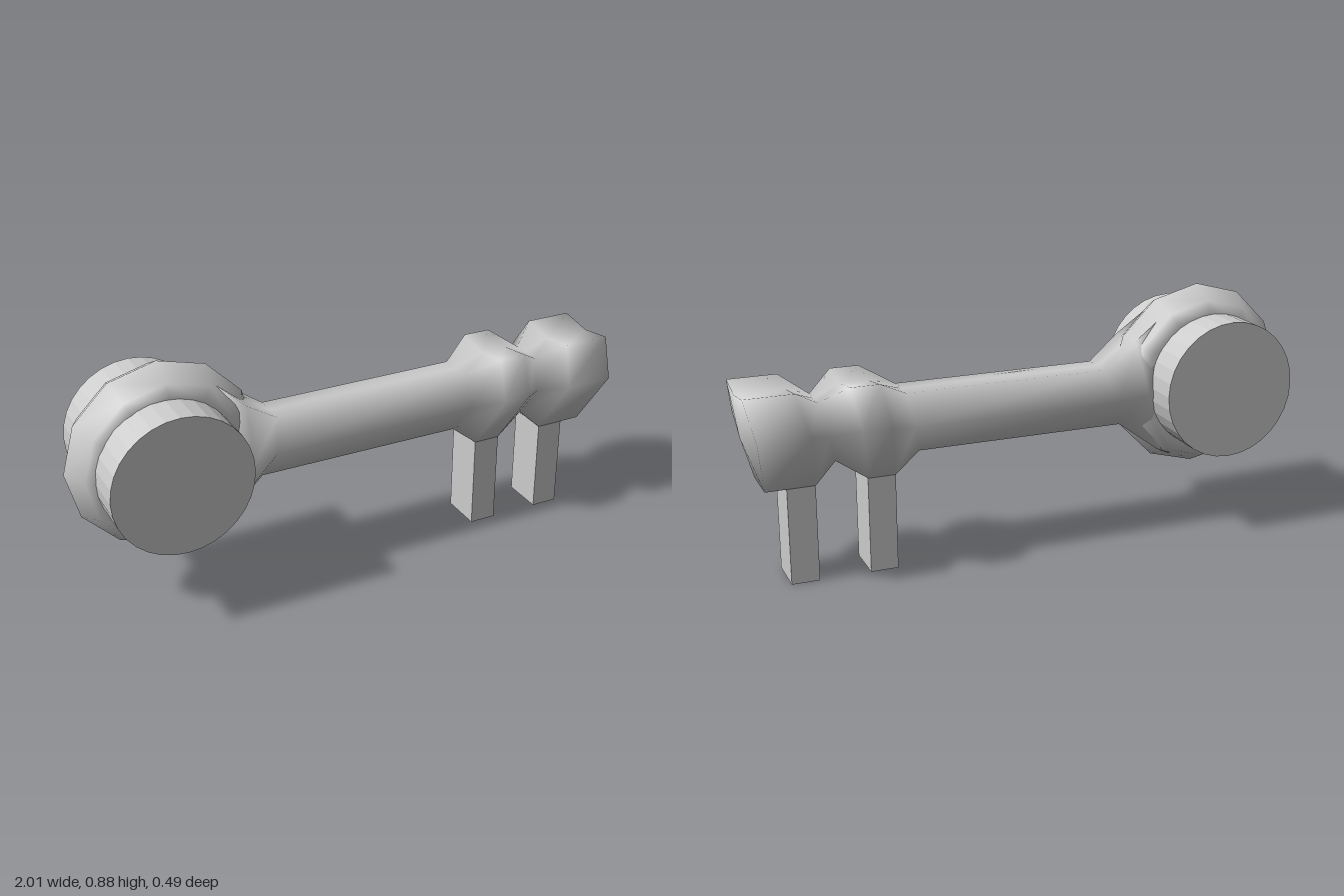
import * as THREE from 'three';

const grey = new THREE.MeshStandardMaterial({ color: 0xcccccc });
const faceted = new THREE.MeshStandardMaterial({ color: 0xcccccc, flatShading: true });

// Loft of seven-sided sections along x, closed at both ends
function loft(stations) {
  const pos = [], idx = [], n = 7, last = stations.length - 1;
  for (const s of stations) {
    const [xt, xm, xb] = s.x, [yt, ym, yb] = s.y, [front, back] = s.z, [kt, kb] = s.k;
    pos.push(
      xt, yt - s.dip, 0,
      xt, yt, front * kt,
      xm, ym, front,
      xb, yb, front * kb,
      xb, yb, -back * kb,
      xm, ym, -back,
      xt, yt, -back * kt
    );
  }
  for (let i = 0; i < last; i++) {
    for (let j = 0; j < n; j++) {
      const a = i * n + j, b = i * n + (j + 1) % n;
      idx.push(a, b, a + n, b, b + n, a + n);
    }
  }
  const startCentre = pos.length / 3, endCentre = startCentre + 1;
  pos.push(stations[0].x[1], stations[0].y[1], 0, 0.99, 0.51, 0);
  for (let j = 0; j < n; j++) {
    const k = (j + 1) % n;
    idx.push(startCentre, k, j, endCentre, last * n + j, last * n + k);
  }
  const g = new THREE.BufferGeometry();
  g.setAttribute('position', new THREE.Float32BufferAttribute(pos, 3));
  g.setIndex(idx);
  g.computeVertexNormals();
  return g;
}

export function createModel() {
  const group = new THREE.Group();
  const add = (name, geometry, material, x, y, z) => {
    const mesh = new THREE.Mesh(geometry, material);
    mesh.name = name;
    mesh.position.set(x, y, z);
    group.add(mesh);
    return mesh;
  };

  // Shaft, flared at the ring and swelling into two bosses
  const thin = (x, w = 0.127) => ({ x, y: [0.617, 0.515, 0.41], z: [w, w], k: [0.5, 0.5], dip: 0 });
  const boss = (x) => ({ x, y: [0.677, 0.547, 0.34], z: [0.197, 0.197], k: [0.63, 0.39], dip: 0.02 });
  add('shaft', loft([
    { x: [-0.5, -0.5, -0.56], y: [0.78, 0.547, 0.27], z: [0.11, 0.1], k: [0.6, 0.6], dip: 0 },
    { x: [-0.41, -0.43, -0.5], y: [0.7, 0.53, 0.3], z: [0.19, 0.14], k: [0.5, 0.5], dip: 0 },
    thin([-0.29, -0.32, -0.35]),
    thin([0.44, 0.43, 0.4]),
    boss([0.55, 0.53, 0.49]),
    boss([0.65, 0.63, 0.585]),
    thin([0.74, 0.72, 0.69], 0.115),
    boss([0.83, 0.8, 0.765]),
    boss([1, 0.975, 0.935])
  ]), grey, 0, 0, 0);

  // Low-poly ring at the handle end
  const section = [
    [0.2, -0.1], [0.25, -0.11], [0.29, -0.087], [0.335, 0],
    [0.29, 0.087], [0.25, 0.11], [0.2, 0.1]
  ].map(([r, h]) => new THREE.Vector2(r, h));
  const ring = new THREE.LatheGeometry(section, 12).rotateX(Math.PI / 2);
  add('ring', ring, grey, -0.68, 0.547, 0);

  // Solid drum through the ring
  const drum = new THREE.CylinderGeometry(0.245, 0.245, 0.49, 32).rotateX(Math.PI / 2);
  add('drum', drum, faceted, -0.695, 0.547, 0);

  // Two teeth hanging from the bosses
  [['innerTooth', 0.538], ['outerTooth', 0.814]].forEach(([name, x]) =>
    add(name, new THREE.BoxGeometry(0.097, 0.36, 0.154), grey, x, 0.18, 0));

  return group;
}
